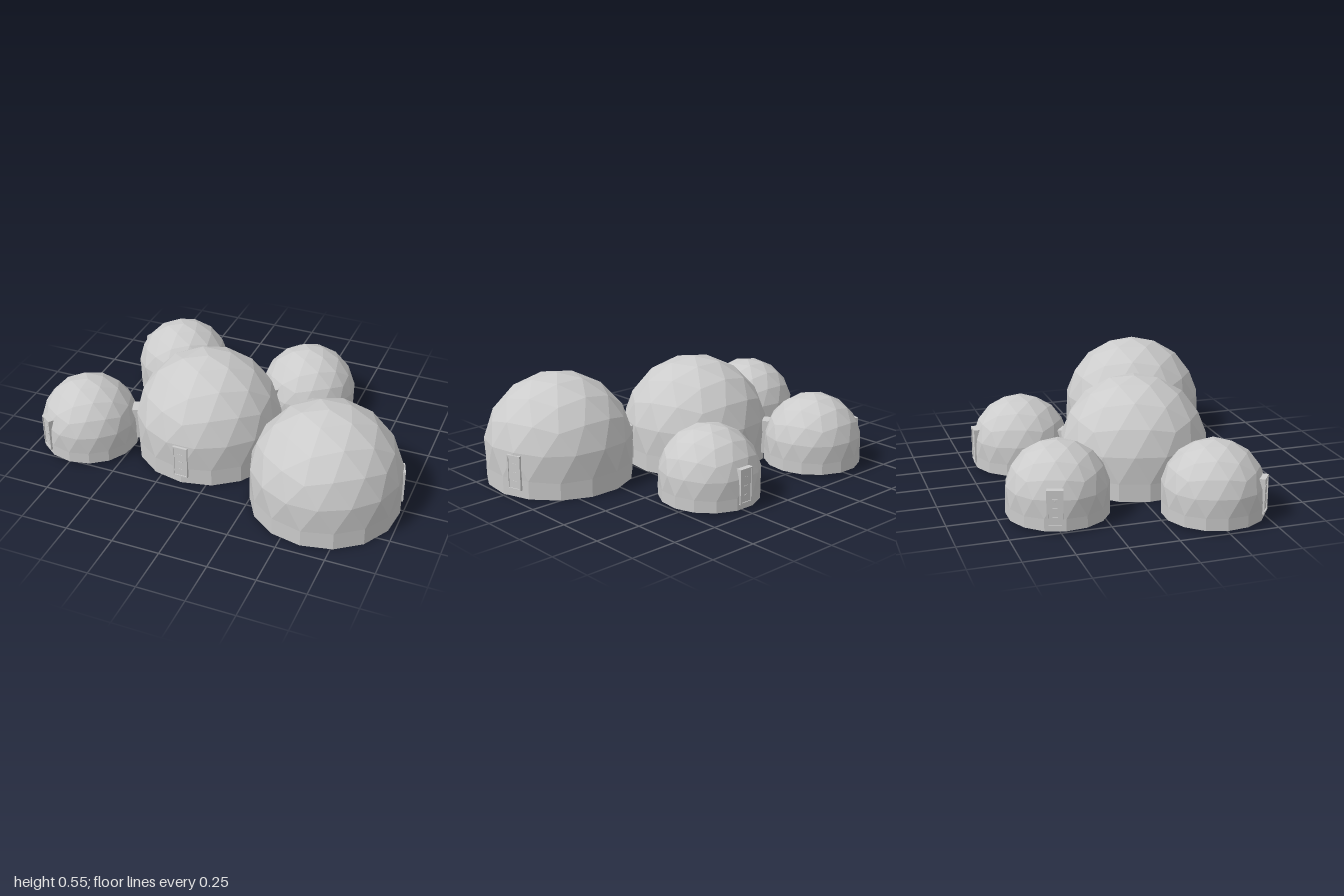
import * as THREE from 'three';

const material = new THREE.MeshStandardMaterial({ color: 0xcccccc, flatShading: true });

// Three-frequency geodesic cap on a straight riser, closed by a floor
function domeGeometry(R) {
  const ico = new THREE.IcosahedronGeometry(R, 2);
  ico.rotateZ(-Math.atan(2 / (1 + Math.sqrt(5)))); // one vertex straight up
  ico.rotateY(-Math.PI / 2); // ridge towards the front
  const p = ico.attributes.position;
  const out = [];
  const rim = new Map();
  const low = -0.41 * R;
  for (let i = 0; i < p.count; i += 3) {
    const tri = [0, 1, 2].map(k => new THREE.Vector3().fromBufferAttribute(p, i + k));
    if (tri.some(v => v.y < -0.3 * R)) continue;
    for (const v of tri) {
      out.push(v.x, v.y, v.z);
      // lowest row of the cap, keyed by its rounded heading
      if (v.y < -0.1 * R) {
        const a = Math.atan2(v.x, v.z);
        const key = (Math.round(a * 100) + 628) % 628;
        rim.set(key, v);
      }
    }
  }
  const ring = [...rim.entries()].sort((a, b) => a[0] - b[0]).map(e => e[1]);
  ring.forEach((a, i) => {
    const b = ring[(i + 1) % ring.length];
    // riser wall
    out.push(a.x, a.y, a.z, a.x, low, a.z, b.x, low, b.z);
    out.push(a.x, a.y, a.z, b.x, low, b.z, b.x, b.y, b.z);
    // floor
    out.push(0, low, 0, b.x, low, b.z, a.x, low, a.z);
  });
  const g = new THREE.BufferGeometry();
  g.setAttribute('position', new THREE.Float32BufferAttribute(out, 3));
  g.computeVertexNormals();
  return g;
}

function box(name, w, h, d, x, y, z) {
  const m = new THREE.Mesh(new THREE.BoxGeometry(w, h, d), material);
  m.name = name;
  m.position.set(x, y, z);
  return m;
}

// Door facing +z, its outer face at z = 0
function makeDoor() {
  const door = new THREE.Group();
  door.name = 'door';
  door.add(box('doorPanel', 0.076, 0.176, 0.03, 0, 0, -0.02));
  for (const s of [-1, 1]) {
    door.add(box('doorJamb', 0.008, 0.18, 0.035, s * 0.036, 0, -0.0175));
    door.add(box('doorRail', 0.064, 0.008, 0.035, 0, s * 0.086, -0.0175));
  }
  // small hardware strips
  for (const y of [-0.045, 0, 0.045]) {
    door.add(box('doorStrip', 0.025, 0.004, 0.003, 0, y, -0.0045));
  }
  return door;
}

export function createModel() {
  const model = new THREE.Group();
  model.name = 'domeHabitat';

  // name, centre x and z, radius, crown height, outward door direction
  const domes = [
    ['centralDome', -0.13, 0.07, 0.39, 0.55, [0, 1]],
    ['largeDome', 0.605, 0.31, 0.39, 0.55, [0.95, -0.31]],
    ['frontRightDome', -0.74, 0.27, 0.26, 0.38, [-0.59, 0.81]],
    ['backRightDome', -0.51, -0.45, 0.26, 0.38, [-0.95, 0.31]],
    ['backLeftDome', 0.25, -0.45, 0.26, 0.38, [0, -1]],
  ];
  domes[3][5] = [-0.95, -0.31];
  const [, cx, cz] = domes[0];
  const doorY = 0.13;

  for (const [name, x, z, R, top, [dx, dz]] of domes) {
    const group = new THREE.Group();
    group.name = name;
    const shell = new THREE.Mesh(domeGeometry(R), material);
    shell.name = 'domeShell';
    shell.position.set(x, top - R, z);
    group.add(shell);

    const door = makeDoor();
    door.position.set(x + dx * R, doorY, z + dz * R);
    door.rotation.y = Math.atan2(dx, dz);
    group.add(door);
    model.add(group);

    // short passage joining each outer dome to the central one
    if (name !== 'centralDome') {
      const a = Math.atan2(x - cx, z - cz);
      const r = 0.385;
      const link = box('passage', 0.08, 0.18, 0.055,
        cx + Math.sin(a) * r, doorY, cz + Math.cos(a) * r);
      link.rotation.y = a;
      model.add(link);
    }
  }
  return model;
}
